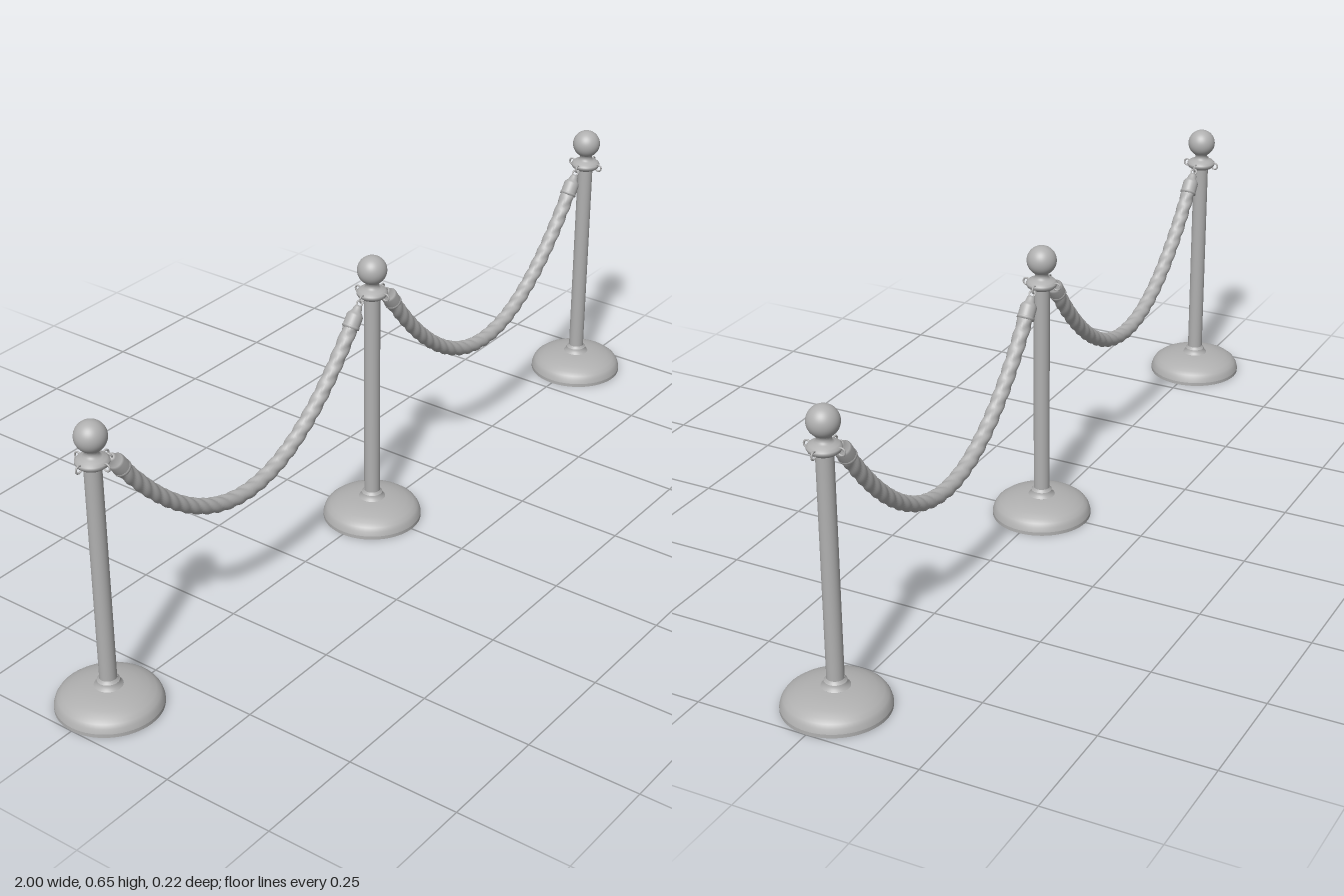
import * as THREE from 'three';

const SPACING = 0.888; // distance between posts
const HALF = 0.396;    // half the span of a rope
const END_Y = 0.556;   // height where a rope meets its hook

const metal = new THREE.MeshStandardMaterial({ color: 0xb0b0b0 });
metal.name = 'plain grey';

function add(parent, name, geometry) {
  const mesh = new THREE.Mesh(geometry, metal);
  mesh.name = name;
  parent.add(mesh);
  return mesh;
}

function lathe(points, sides = 48) {
  return new THREE.LatheGeometry(points.map(([r, y]) => new THREE.Vector2(r, y)), sides);
}

function createPost() {
  const post = new THREE.Group();
  post.name = 'post';

  // Domed foot with a flat underside
  add(post, 'baseUnderside', new THREE.CircleGeometry(0.112, 64)).rotation.x = Math.PI / 2;
  add(post, 'baseRim', lathe([[0.112, 0], [0.112, 0.008]], 64));
  add(post, 'baseDome', lathe([[0.112, 0.008], [0.109, 0.018], [0.104, 0.026], [0.095, 0.033],
    [0.08, 0.04], [0.06, 0.0455], [0.042, 0.048], [0.03, 0.049]], 64));
  add(post, 'baseNeck', lathe([[0.03, 0.049], [0.026, 0.053], [0.024, 0.058], [0.0235, 0.061]]));
  add(post, 'baseCollar', lathe([[0.0235, 0.061], [0.021, 0.063], [0.0185, 0.067]]));

  // Shaft, flange and ball
  add(post, 'shaft', lathe([[0.018, 0.06], [0.018, 0.558]], 32));
  add(post, 'flange', lathe([[0.018, 0.556], [0.027, 0.558], [0.032, 0.562], [0.0345, 0.567],
    [0.034, 0.571], [0.029, 0.576], [0.02, 0.579], [0.016, 0.582], [0.0145, 0.587],
    [0.0155, 0.592], [0.02, 0.598]]));
  add(post, 'ball', new THREE.SphereGeometry(0.033, 40, 28)).position.y = 0.622;

  // Four upright rings around the flange
  for (let i = 0; i < 4; i++) {
    const a = i * Math.PI / 2;
    const ring = add(post, 'ring', new THREE.TorusGeometry(0.0078, 0.002, 10, 24));
    ring.position.set(0.037 * Math.cos(a), 0.566, -0.037 * Math.sin(a));
    ring.rotation.y = a;
  }
  return post;
}

// Three strands twisted around a hanging curve
function ropeGeometry(height, slope) {
  const rows = 260, sides = 24, strands = 3, reach = HALF - 0.022;
  const positions = [], index = [];
  let length = 0, previous = null;
  for (let i = 0; i <= rows; i++) {
    const x = -reach + 2 * reach * i / rows;
    const p = new THREE.Vector2(x, height(x));
    if (previous) length += p.distanceTo(previous);
    previous = p;
    const t = new THREE.Vector2(1, slope(x)).normalize();
    const twist = length * 2 * Math.PI / (strands * 0.036);
    for (let j = 0; j < sides; j++) {
      const a = j / sides * 2 * Math.PI;
      const r = 0.0145 + 0.003 * Math.abs(Math.cos((a - twist) * strands / 2));
      const n = r * Math.cos(a);
      positions.push(p.x - t.y * n, p.y + t.x * n, r * Math.sin(a));
      if (i < rows) {
        const k = (j + 1) % sides, row = i * sides, next = row + sides;
        index.push(row + j, row + k, next + j, row + k, next + k, next + j);
      }
    }
  }
  const geometry = new THREE.BufferGeometry();
  geometry.setAttribute('position', new THREE.Float32BufferAttribute(positions, 3));
  geometry.setIndex(index);
  geometry.computeVertexNormals();
  return geometry;
}

function createRope(lowest) {
  const group = new THREE.Group();
  group.name = 'ropeSpan';
  const bend = (END_Y - lowest) / (HALF * HALF);
  const height = x => lowest + bend * x * x;
  const slope = x => 2 * bend * x;
  add(group, 'rope', ropeGeometry(height, slope));

  // Ferrule and hook at each end
  for (const side of [-1, 1]) {
    const end = new THREE.Group();
    end.name = 'ropeEnd';
    end.position.set(side * HALF, END_Y, 0);
    end.rotation.z = Math.atan2(side, -slope(HALF - 0.015)) * -1 + Math.PI;
    const direction = new THREE.Vector3(-side, -slope(HALF - 0.015), 0).normalize();
    end.quaternion.setFromUnitVectors(new THREE.Vector3(0, 1, 0), direction);
    add(end, 'ferrule', lathe([[0, 0], [0.007, 0.001], [0.0095, 0.006], [0.011, 0.014],
      [0.016, 0.02], [0.0185, 0.024], [0.0185, 0.047]], 32));
    add(end, 'ferruleLip', lathe([[0.0185, 0.047], [0.0195, 0.049], [0.0195, 0.053],
      [0.014, 0.055]], 32));
    const hook = add(end, 'hook', new THREE.TorusGeometry(0.007, 0.002, 10, 24));
    hook.position.y = -0.004;
    hook.rotation.y = Math.PI / 2;
    group.add(end);
  }
  return group;
}

export function createModel() {
  const model = new THREE.Group();
  model.name = 'ropeBarrier';
  for (const i of [-1, 0, 1]) {
    const post = createPost();
    post.position.x = i * SPACING;
    model.add(post);
  }
  // The second rope hangs slightly lower
  [[-1, 0.279], [1, 0.266]].forEach(([side, lowest]) => {
    const rope = createRope(lowest);
    rope.position.x = side * SPACING / 2;
    model.add(rope);
  });
  return model;
}
